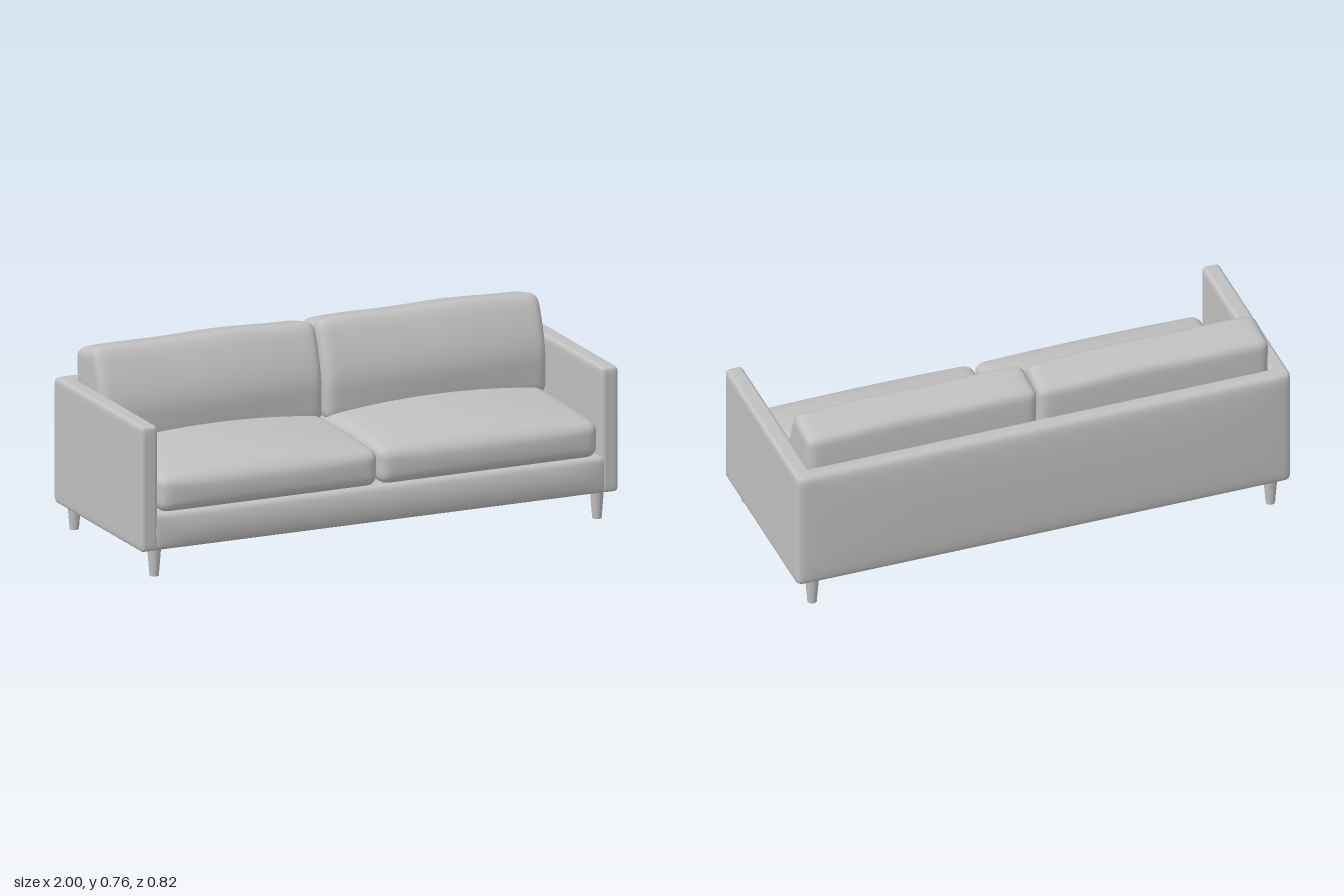
import * as THREE from 'three';
import { mergeVertices } from 'three/addons/utils/BufferGeometryUtils.js';

const fabric = new THREE.MeshStandardMaterial({ color: 0xc0c0c0 });
fabric.name = 'grey';

// Rounded block between two corners, dense at the edges, then bent by a rule.
// The rule gets the point and its position (u, v, w) from -1 to 1 in the block.
function softBlock(name, min, max, radius, warp) {
  const lo = new THREE.Vector3(...min), hi = new THREE.Vector3(...max);
  const half = hi.clone().sub(lo).multiplyScalar(0.5);
  const mid = hi.clone().add(lo).multiplyScalar(0.5);
  let geo = new THREE.BoxGeometry(2, 2, 2, 36, 20, 20);
  geo.deleteAttribute('uv');
  geo.deleteAttribute('normal');
  geo = mergeVertices(geo);
  const pos = geo.attributes.position;
  const p = new THREE.Vector3(), core = new THREE.Vector3(), uvw = new THREE.Vector3();
  const inner = half.clone().subScalar(radius);
  for (let i = 0; i < pos.count; i++) {
    p.fromBufferAttribute(pos, i);
    for (const k of ['x', 'y', 'z']) p[k] = Math.sin(p[k] * Math.PI / 2) * half[k];
    core.copy(p).clamp(inner.clone().negate(), inner);
    p.sub(core).setLength(radius).add(core);
    uvw.copy(p).divide(half);
    p.add(mid);
    if (warp) warp(p, uvw);
    pos.setXYZ(i, p.x, p.y, p.z);
  }
  geo.computeVertexNormals();
  const mesh = new THREE.Mesh(geo, fabric);
  mesh.name = name;
  return mesh;
}

const crown = (t) => 1 - t * t;

export function createModel() {
  const sofa = new THREE.Group();
  sofa.name = 'sofa';

  // Frame: back panel with a slight outward bow, base and front rail
  sofa.add(softBlock('backPanel', [-1, 0.105, -0.397], [1, 0.6, -0.325], 0.025, (p, t) => {
    if (t.z < 0) p.z -= 0.013 * crown(t.x ** 4) * crown(t.y * t.y);
  }));
  sofa.add(softBlock('base', [-0.95, 0.105, -0.36], [0.95, 0.25, 0.392], 0.018, (p, t) => {
    if (t.z > 0) p.z += 0.015 * t.z * crown(t.y) * crown(t.x ** 6);
  }));

  for (const side of [-1, 1]) {
    const label = side > 0 ? 'left' : 'right';
    const span = (a, b) => (side > 0 ? [a, b] : [-b, -a]);

    // Slim arms
    const [a0, a1] = span(0.928, 1);
    sofa.add(softBlock(label + 'Arm', [a0, 0.105, -0.387], [a1, 0.6, 0.395], 0.018));

    // Seat cushion, fuller in the middle and thinner at its front edge
    const [s0, s1] = span(0.003, 0.918);
    sofa.add(softBlock(label + 'SeatCushion', [s0, 0.247, -0.32], [s1, 0.4, 0.396], 0.042, (p, t) => {
      if (t.y > 0) {
        p.y += 0.035 * t.y * crown(t.x) * crown(t.z * t.z);
        p.y -= 0.012 * t.y * Math.max(0, t.z) ** 2;
      }
      if (t.z > 0) p.z += 0.012 * t.z * crown(t.x * t.x) * crown(t.y);
    }));

    // Back cushion, its upper front leaning back and its top sloping to the rear
    const [b0, b1] = span(0.004, 0.934);
    sofa.add(softBlock(label + 'BackCushion', [b0, 0.37, -0.335], [b1, 0.755, -0.088], 0.04, (p, t) => {
      const front = (t.z + 1) / 2;
      const rise = Math.max(0, (p.y - 0.52) / 0.235);
      p.z += front * (0.016 * crown(t.x) * crown(t.y) - 0.085 * rise ** 1.5);
      p.z -= (1 - front) * 0.006 * crown(t.y);
      if (t.y > 0) {
        p.y -= 0.035 * (1 - front) * t.y ** 2;
        p.y += 0.008 * t.y * (crown(t.x) + 0.3 * Math.sin(p.x * 13));
      }
    }));

    // Tapered round feet
    for (const z of [0.352, -0.357]) {
      const leg = new THREE.Mesh(new THREE.CylinderGeometry(0.027, 0.018, 0.115, 24), fabric);
      leg.name = label + (z > 0 ? 'FrontLeg' : 'BackLeg');
      leg.position.set(side * 0.927, 0.0575, z);
      sofa.add(leg);
    }
  }
  return sofa;
}
